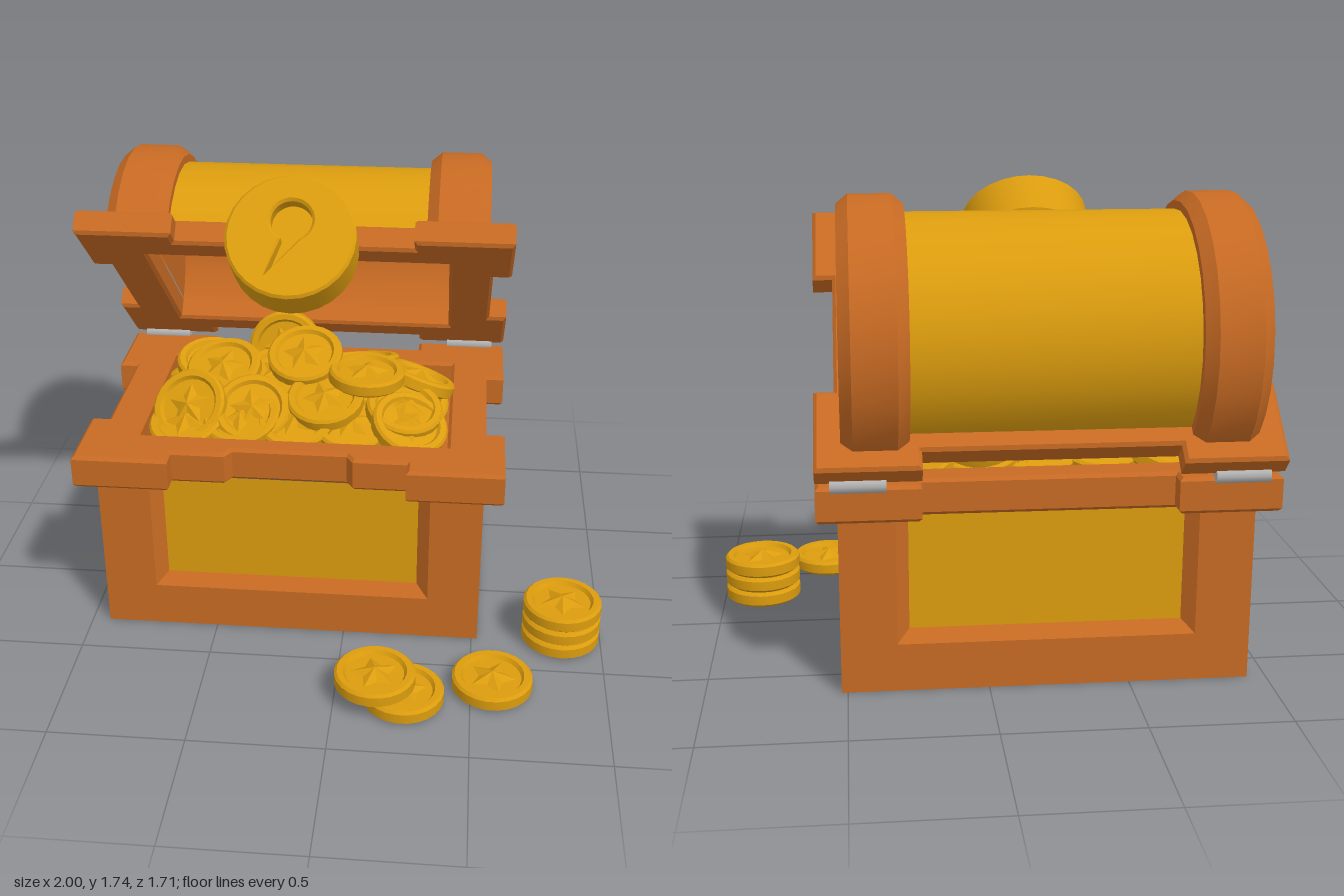
import * as THREE from 'three';
import { toCreasedNormals } from 'three/addons/utils/BufferGeometryUtils.js';

const flat = (name, color) => {
  const m = new THREE.MeshStandardMaterial({ color });
  m.name = name;
  return m;
};

// Half or full turned part; halves are laid along x with the arch upwards
const turn = (pts, segs, crease = 0.6) =>
  toCreasedNormals(new THREE.LatheGeometry(pts.map(p => new THREE.Vector2(...p)), segs), crease);
const arch = (pts, crease = 0.6) => toCreasedNormals(
  new THREE.LatheGeometry(pts.map(p => new THREE.Vector2(...p)), 14, Math.PI, Math.PI).rotateZ(-Math.PI / 2), crease);

// Rectangular ring with thicker corners and an optional notch in its front edge
function ringGeometry(holeX, holeZ, height, notch) {
  const hx = 0.8, hz = 0.555, inset = 0.07, cx = 0.36, cz = 0.315;
  const quarter = [[hx - inset, hz - cz], [hx, hz - cz], [hx, hz], [hx - cx, hz], [hx - cx, hz - inset]];
  const back = [...quarter, ...quarter.map(([x, z]) => [-x, z]).reverse()];
  const front = back.map(([x, z]) => [-x, -z]);
  if (notch) {
    const z = -(hz - inset);
    front.splice(5, 0, [-0.24, z], [-0.215, z + 0.04], [0.215, z + 0.04], [0.24, z]);
  }
  const shape = new THREE.Shape([...back, ...front].map(p => new THREE.Vector2(...p)));
  shape.holes.push(new THREE.Path([[-1, -1], [-1, 1], [1, 1], [1, -1]]
    .map(([x, z]) => new THREE.Vector2(x * holeX, z * holeZ))));
  const b = 0.012;
  return new THREE.ExtrudeGeometry(shape, {
    depth: height - 2 * b, bevelThickness: b, bevelSize: b, bevelOffset: -b, bevelSegments: 1,
  }).translate(0, 0, b).rotateX(-Math.PI / 2);
}

// One wall frame facing +z: two posts and a lower rail sloping in to the panel
function wallGeometry(w, h, p, sill, bevel, depth) {
  const o = p + bevel, s = sill - bevel, v = [];
  const quad = (a, b, c, d) => v.push(...a, ...b, ...c, ...a, ...c, ...d);
  quad([-w, 0, 0], [-o, 0, 0], [-o, h, 0], [-w, h, 0]);
  quad([o, 0, 0], [w, 0, 0], [w, h, 0], [o, h, 0]);
  quad([-o, 0, 0], [o, 0, 0], [o, s, 0], [-o, s, 0]);
  quad([-o, s, 0], [-p, sill, -depth], [-p, h, -depth], [-o, h, 0]);
  quad([p, sill, -depth], [o, s, 0], [o, h, 0], [p, h, -depth]);
  quad([-o, s, 0], [o, s, 0], [p, sill, -depth], [-p, sill, -depth]);
  const g = new THREE.BufferGeometry();
  g.setAttribute('position', new THREE.Float32BufferAttribute(v, 3));
  g.computeVertexNormals();
  return g;
}

// Five-pointed star: a ten-sided cone with every other base corner pulled in
function starGeometry() {
  const g = new THREE.ConeGeometry(0.09, 0.028, 10, 1, true).toNonIndexed();
  const pos = g.attributes.position;
  for (let i = 0; i < pos.count; i++) {
    const x = pos.getX(i), z = pos.getZ(i);
    const k = Math.round(Math.atan2(x, z) / (Math.PI / 5));
    if (k % 2 === 0) pos.setXYZ(i, x * 0.55, pos.getY(i), z * 0.55);
  }
  g.computeVertexNormals();
  return g.translate(0, 0.059, 0);
}

export function createModel() {
  const wood = flat('orange wood', 0xc76a23);
  const gold = flat('gold', 0xdb9c0e);
  const steel = flat('hinge steel', 0xb4b4b4);
  const model = new THREE.Group();
  model.name = 'treasureChest';
  const add = (parent, name, geo, mat, x = 0, y = 0, z = 0) => {
    const m = new THREE.Mesh(geo, mat);
    m.name = name;
    m.position.set(x, y, z);
    parent.add(m);
    return m;
  };
  const group = (parent, name, x, y, z) => {
    const g = new THREE.Group();
    g.name = name;
    g.position.set(x, y, z);
    parent.add(g);
    return g;
  };

  // Base: four framed walls with recessed gold panels
  const base = group(model, 'base', -0.205, 0, -0.163);
  const hx = 0.727, hz = 0.487, depth = 0.04;
  for (let i = 0; i < 4; i++) {
    const side = i % 2, w = side ? hz : hx, out = side ? hx : hz, p = side ? 0.3 : 0.485;
    const wall = group(base, 'wall', 0, 0, 0);
    wall.rotation.y = i * Math.PI / 2;
    add(wall, 'wallFrame', wallGeometry(w, 0.655, p, 0.22, 0.045, depth), wood, 0, 0, out);
    add(wall, 'wallPanel', new THREE.PlaneGeometry(2 * p, 0.435), gold, 0, 0.4375, out - depth);
  }
  add(base, 'baseBottom', new THREE.BoxGeometry(2 * hx, 0.01, 2 * hz), wood, 0, 0.005, 0);
  add(base, 'baseRim', ringGeometry(0.585, 0.355, 0.13, true), wood, 0, 0.648, 0);
  add(base, 'innerFloor', new THREE.BoxGeometry(1.3, 0.02, 0.8), wood, 0, 0.665, 0);

  // Lid, swung open about the rear hinge line
  const lid = group(model, 'lid', -0.205, 0.787, -0.715);
  lid.rotation.x = -0.75;
  add(lid, 'lidRim', ringGeometry(0.565, 0.36, 0.095, false), wood, 0, 0, 0.555);
  const vault = group(lid, 'lidVault', 0, 0.09, 0.555);
  add(vault, 'barrel', arch([[0.42, -0.5], [0.42, 0.5]]), gold);
  add(vault, 'lining', arch([[0, 0.565], [0.36, 0.565], [0.36, -0.565], [0, -0.565]]), wood);
  const bandGeo = arch([[0.37, 0.48], [0.45, 0.48], [0.483, 0.52], [0.483, 0.67],
    [0.45, 0.71], [0.335, 0.71], [0.312, 0.69], [0.312, 0.64]], 0.5);
  const endGeo = new THREE.CircleGeometry(0.33, 14, 0, Math.PI).rotateY(Math.PI / 2);
  for (const turnY of [0, Math.PI]) {
    const end = group(vault, 'lidEnd', 0, 0, 0);
    end.rotation.y = turnY;
    add(end, 'archBand', bandGeo, wood);
    add(end, 'endPanel', endGeo, gold, 0.65, 0, 0);
  }

  // Round lock with a sunken keyhole
  const lock = group(lid, 'lock', 0, 0, 0.985);
  const face = new THREE.Shape().absarc(0, 0, 0.237, 0, Math.PI * 2);
  const key = new THREE.Path();
  key.moveTo(0.08, -0.145);
  key.absarc(0, 0.06, 0.075, -Math.PI / 2 + 0.48, Math.PI * 1.5 - 0.48, false);
  key.lineTo(-0.08, -0.145);
  key.closePath();
  face.holes.push(key);
  const lockGeo = new THREE.ExtrudeGeometry(face, {
    depth: 0.152, bevelThickness: 0.01, bevelSize: 0.01, bevelOffset: -0.01, bevelSegments: 1, curveSegments: 14,
  });
  add(lock, 'lockBody', toCreasedNormals(lockGeo, 0.5), gold, 0, 0, 0.01);
  add(lock, 'keyholeFloor', new THREE.CylinderGeometry(0.22, 0.22, 0.11, 28).rotateX(Math.PI / 2), gold, 0, 0, 0.06);

  // Hinge pins
  const pin = new THREE.CylinderGeometry(0.028, 0.028, 0.19, 12).rotateZ(Math.PI / 2);
  for (const s of [-1, 1]) add(model, 'hinge', pin, steel, -0.205 + s * 0.655, 0.785, -0.715);

  // Coins
  const coinGeo = turn([[0, 0], [0.135, 0], [0.15, 0.012], [0.15, 0.05], [0.14, 0.06],
    [0.118, 0.06], [0.108, 0.045], [0, 0.045]], 24);
  const starGeo = starGeometry();
  const coin = (parent, x, y, z, rx = 0, rz = 0, ry = 0) => {
    const c = group(parent, 'coin', x, y, z);
    c.rotation.set(rx, ry, rz);
    add(c, 'coinDisc', coinGeo, gold);
    add(c, 'coinStar', starGeo, gold);
  };

  // Loose coins on the ground
  const loose = group(model, 'looseCoins', 0, 0, 0);
  [[0.845, 0, 0.285], [0.845, 0.062, 0.285], [0.845, 0.124, 0.285], [0.58, 0, 0.61],
    [0.255, 0, 0.71], [0.15, 0.06, 0.7]].forEach(([x, y, z], i) => coin(loose, x, y, z, 0, 0, 0.3 * i));

  // Heap in the chest: a bed of tilted coins, then the larger ones on top
  const heap = group(model, 'coinHeap', 0, 0, 0);
  let seed = 7;
  const rnd = () => (seed = (seed * 16807) % 2147483647) / 2147483647 - 0.5;
  for (let i = 0; i < 5; i++) for (let j = 0; j < 3; j++) {
    const x = -0.63 + i * 0.2125, z = 0.03 - j * 0.2;
    coin(heap, x, 0.74 + rnd() * 0.03, z, 0.35 * (1 - j) + rnd() * 0.3, 0.15 * (2 - i) + rnd() * 0.3, rnd() * 3);
  }
  [
    [-0.62, 0.78, -0.02, 0.75, 0.25], [-0.38, 0.78, 0.0, 0.6, 0.0], [-0.1, 0.81, -0.04, 0.3, 0.05],
    [0.2, 0.78, -0.04, 0.4, -0.2], [0.24, 0.8, -0.26, 0.1, -0.5], [-0.52, 0.85, -0.2, 0.2, 0.2],
    [0.05, 0.87, -0.14, 0.1, -0.1], [-0.2, 0.9, -0.24, 0.08, 0.32], [-0.3, 0.88, -0.42, 1.2, 0.1],
    [-0.6, 0.79, -0.36, -0.2, 0.4], [0.02, 0.81, -0.37, -0.2, -0.15], [-0.3, 0.83, -0.2, 0.15, 0.05],
  ].forEach((c, i) => coin(heap, ...c, i * 0.2));
  return model;
}
